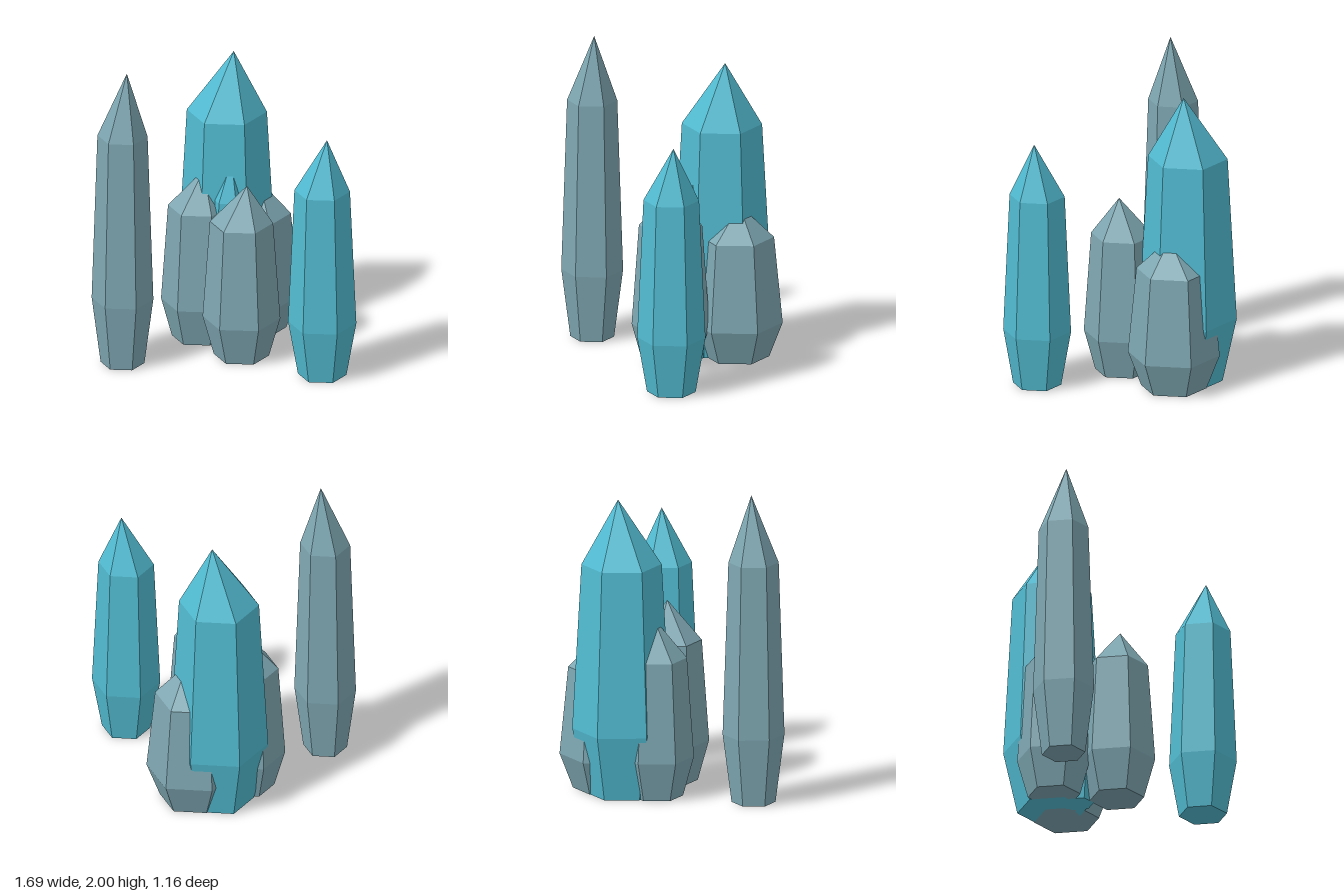
import * as THREE from 'three';

const teal = new THREE.MeshStandardMaterial({ color: 0x52bcd2, flatShading: true });
const slate = new THREE.MeshStandardMaterial({ color: 0x7fa8b3, flatShading: true });

// Six-sided crystal: narrow foot, wide belly, tapering shoulder, tip slightly off centre
function crystal({ name, material, x, z, height, belly }) {
  const profile = [
    [0, 0],
    [belly * 0.71, 0],
    [belly, height * 0.222],
    [belly * 0.813, height * 0.784],
    [0, height],
  ].map(([r, y]) => new THREE.Vector2(r, y));
  const geometry = new THREE.LatheGeometry(profile, 6, Math.PI / 6);

  // Lean the tip towards +x
  const pos = geometry.attributes.position;
  for (let i = 0; i < pos.count; i++) {
    if (pos.getY(i) > height * 0.99) pos.setX(i, belly * 0.14);
  }
  geometry.computeVertexNormals();

  const mesh = new THREE.Mesh(geometry, material);
  mesh.name = name;
  mesh.position.set(x, 0, z);
  return mesh;
}

export function createModel() {
  const group = new THREE.Group();
  group.name = 'crystalCluster';
  const crystals = [
    // Crystals standing apart
    { name: 'tallSlateCrystal', material: slate, x: -0.65, z: 0.3, height: 2, belly: 0.196 },
    { name: 'sideTealCrystal', material: teal, x: 0.625, z: 0.395, height: 1.62, belly: 0.217 },
    // Central clump
    { name: 'mainTealCrystal', material: teal, x: -0.03, z: -0.305, height: 1.91, belly: 0.313 },
    { name: 'frontSlateCrystal', material: slate, x: 0.093, z: 0.125, height: 1.17, belly: 0.247 },
    { name: 'rightSlateCrystal', material: slate, x: -0.2, z: -0.148, height: 1.15, belly: 0.237 },
    { name: 'leftSlateCrystal', material: slate, x: 0.136, z: -0.322, height: 1.01, belly: 0.294 },
    { name: 'smallTealCrystal', material: teal, x: -0.005, z: -0.105, height: 1.25, belly: 0.135 },
  ];
  for (const spec of crystals) group.add(crystal(spec));
  return group;
}
